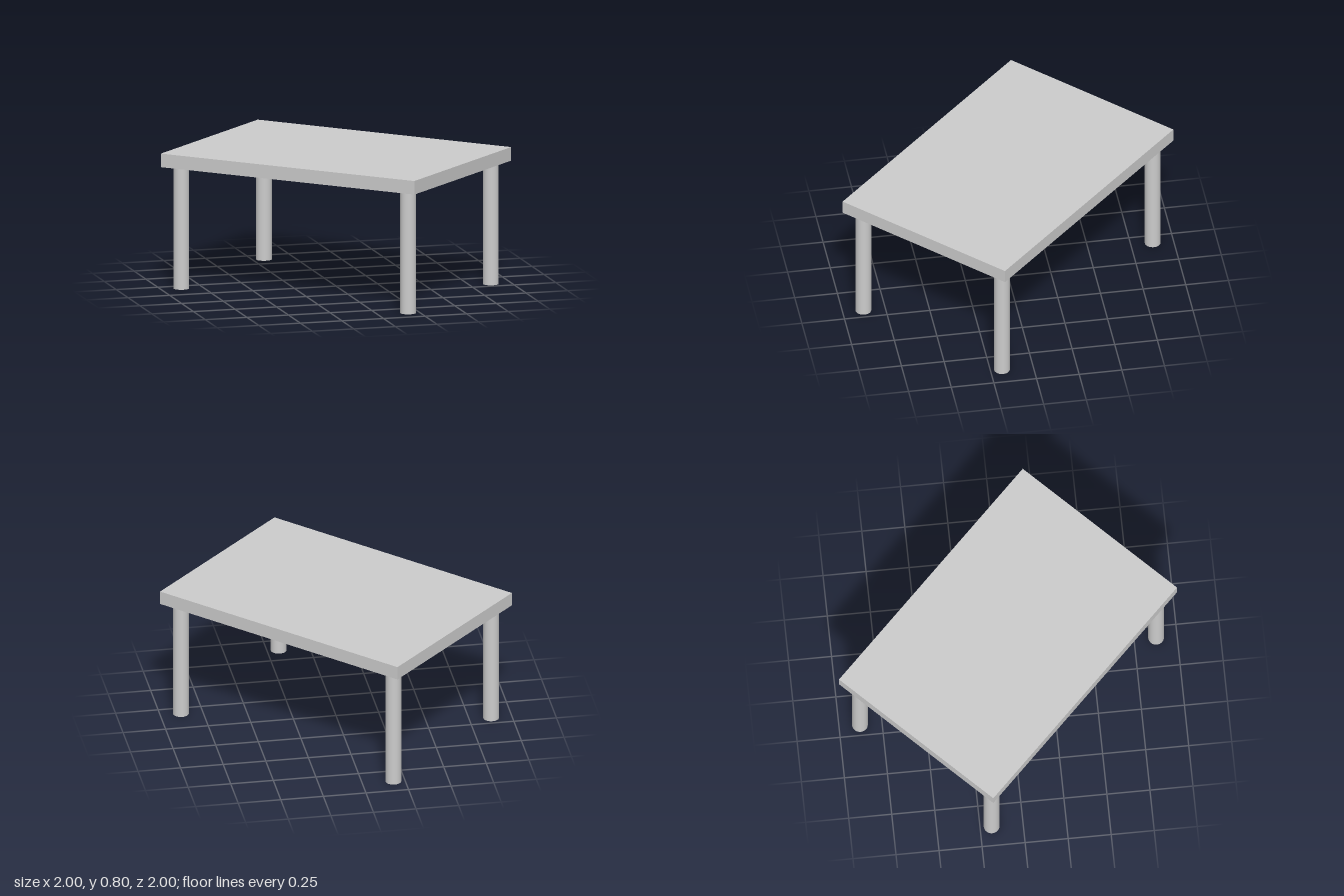
import * as THREE from 'three';

export function createModel() {
  const model = new THREE.Group();
  model.name = 'table';
  const material = new THREE.MeshStandardMaterial({ color: 0xcccccc });

  // The whole table stands turned by 45 degrees
  const table = new THREE.Group();
  table.name = 'turnedTable';
  table.rotation.y = -Math.PI / 4;
  model.add(table);

  // Flat rectangular top
  const height = 0.8, thickness = 0.08;
  const top = new THREE.Mesh(new THREE.BoxGeometry(1.676, thickness, 1.153), material);
  top.name = 'tableTop';
  top.position.y = height - thickness / 2;
  table.add(top);

  // Four round legs, set in from the corners
  const legHeight = height - thickness;
  const legGeometry = new THREE.CylinderGeometry(0.046, 0.046, legHeight, 32);
  for (const [end, sx] of [['Front', 1], ['Back', -1]]) {
    for (const [side, sz] of [['Right', 1], ['Left', -1]]) {
      const leg = new THREE.Mesh(legGeometry, material);
      leg.name = `leg${end}${side}`;
      leg.position.set(sx * 0.75, legHeight / 2, sz * 0.492);
      table.add(leg);
    }
  }
  return model;
}
